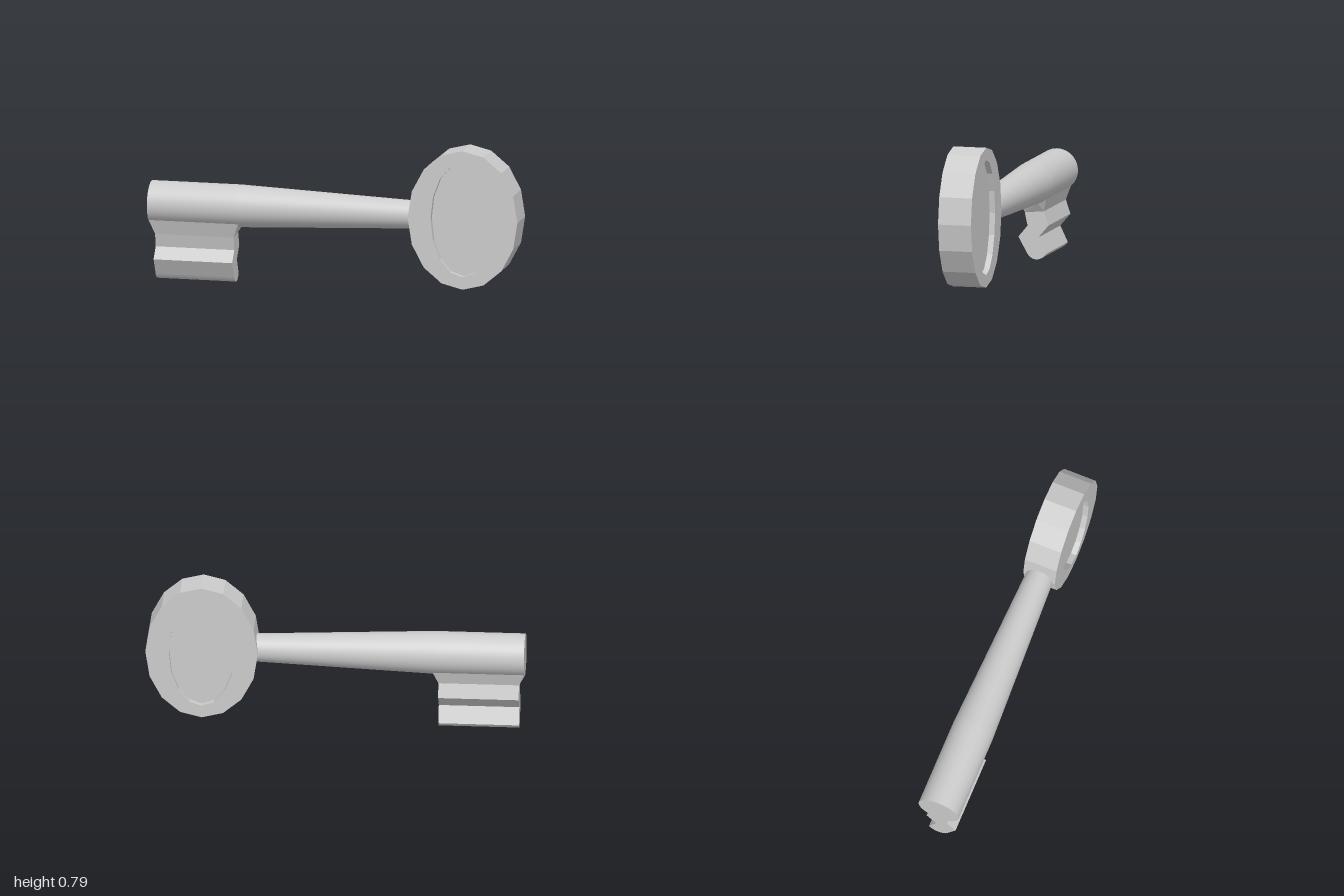
import * as THREE from 'three';
import { ConvexGeometry } from 'three/addons/geometries/ConvexGeometry.js';

const AXIS_Y = 0.413;

// Polygonal ellipse outline with 16 sides
function ellipsePoints(rx, ry, sides = 16) {
  return Array.from({ length: sides }, (_, i) => {
    const a = (i / sides) * Math.PI * 2;
    return new THREE.Vector2(rx * Math.cos(a), ry * Math.sin(a));
  });
}

export function createModel() {
  const group = new THREE.Group();
  const smooth = new THREE.MeshStandardMaterial({ color: 0xcccccc });
  const flat = new THREE.MeshStandardMaterial({ color: 0xcccccc, flatShading: true });

  function add(name, geometry, material, parent = group) {
    const mesh = new THREE.Mesh(geometry, material);
    mesh.name = name;
    parent.add(mesh);
    return mesh;
  }

  // Round shaft along x: straight tip, then a taper towards the bow
  function shaftPart(name, x0, x1, r0, r1) {
    const geo = new THREE.CylinderGeometry(r1, r0, x1 - x0, 40);
    geo.rotateZ(-Math.PI / 2);
    geo.translate((x0 + x1) / 2, AXIS_Y, 0);
    add(name, geo, smooth);
  }
  shaftPart('shaftTip', -1, -0.52, 0.113, 0.113);
  shaftPart('shaftTaper', -0.52, 0.43, 0.113, 0.074);

  // Bow: thick 16-sided oval rim with a shallow oval recess on both faces
  const bow = new THREE.Group();
  bow.name = 'bow';
  bow.position.set(0.703, AXIS_Y, 0);
  group.add(bow);
  const half = 0.09, recess = 0.03;
  const rim = new THREE.Shape(ellipsePoints(0.297, 0.373));
  rim.holes.push(new THREE.Path(ellipsePoints(0.173, 0.306)));
  const rimGeo = new THREE.ExtrudeGeometry(rim, { depth: half * 2, bevelEnabled: false });
  rimGeo.translate(0, 0, -half);
  add('bowRim', rimGeo, flat, bow);
  const panel = new THREE.Shape(ellipsePoints(0.173, 0.306));
  const panelGeo = new THREE.ExtrudeGeometry(panel, { depth: (half - recess) * 2, bevelEnabled: false });
  panelGeo.translate(0, 0, -(half - recess));
  add('bowPanel', panelGeo, flat, bow);

  // Bit: zigzag (z, y) profile with a rounded foot, extruded along x
  const profile = [
    [-0.055, 0.26], [-0.08, 0.185], [-0.025, 0.12], [-0.066, 0.033],
    [-0.058, 0.022], [-0.045, 0.011], [-0.03, 0.004], [-0.014, 0.001],
    [0.003, 0.004], [0.018, 0.011], [0.029, 0.02], [0.037, 0.032],
    [0.085, 0.12], [0.035, 0.18], [0.05, 0.25],
  ].map(([z, y]) => new THREE.Vector2(z, y));
  const bitGeo = new THREE.ExtrudeGeometry(new THREE.Shape(profile), { depth: 0.425, bevelEnabled: false });
  bitGeo.rotateY(-Math.PI / 2);
  bitGeo.translate(-0.545, 0, 0);
  add('bit', bitGeo, flat);

  // Flared neck joining the bit to the shaft
  const neck = [];
  for (const [x, topX] of [[-0.97, -1], [-0.545, -0.515]]) {
    neck.push(new THREE.Vector3(x, 0.25, 0.05), new THREE.Vector3(x, 0.26, -0.055));
    for (const z of [-0.075, 0.075]) neck.push(new THREE.Vector3(topX, 0.33, z));
    // Lower edge of the flare follows the underside of the shaft
    for (const z of [-0.03, 0.03]) neck.push(new THREE.Vector3(topX, 0.304, z));
  }
  add('bitNeck', new ConvexGeometry(neck), flat);

  return group;
}
